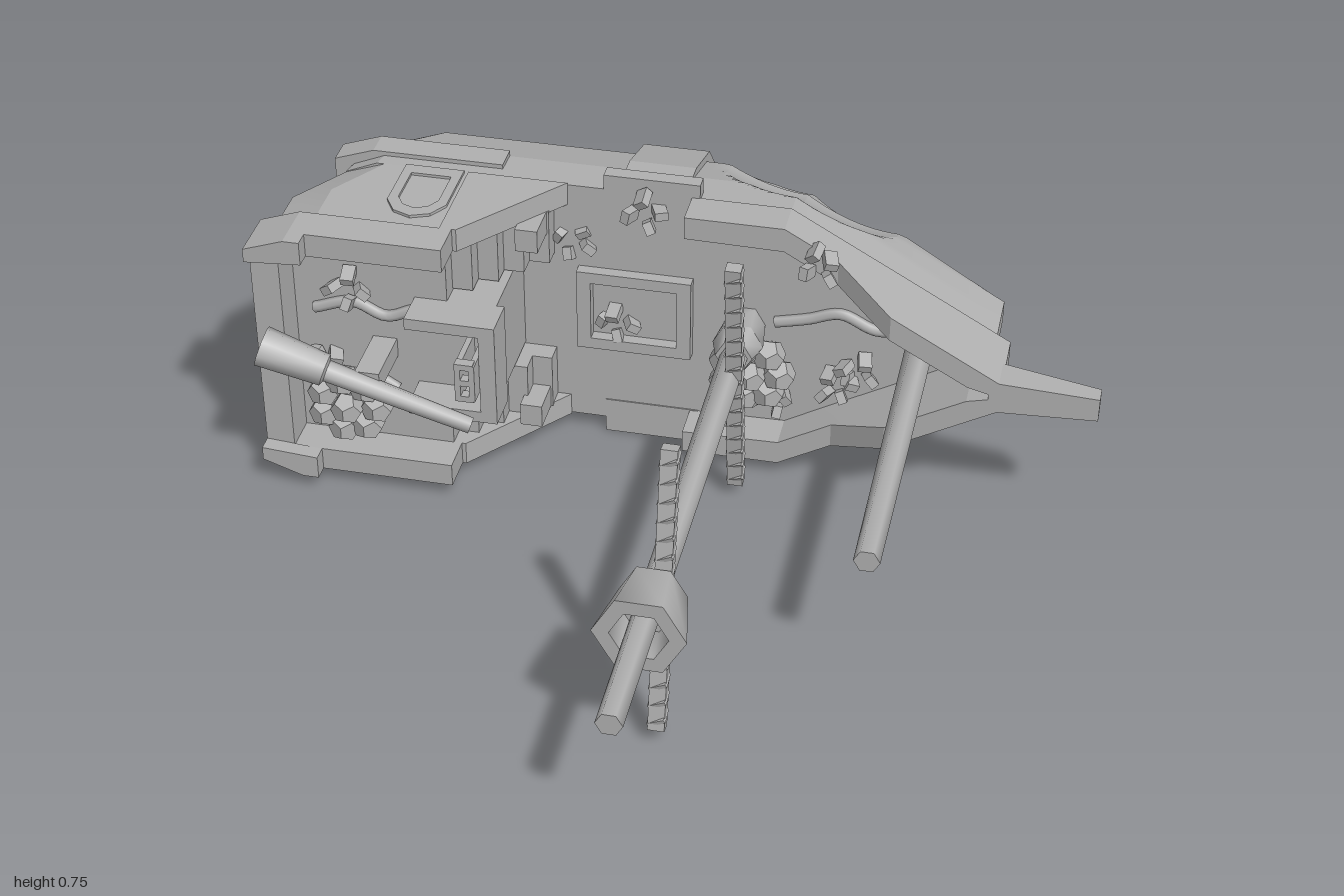
import * as THREE from 'three';
import { toCreasedNormals } from 'three/addons/utils/BufferGeometryUtils.js';

const V = (x, y, z) => new THREE.Vector3(x, y, z);
const lerp = THREE.MathUtils.lerp;

// Closed rings joined in order, with both ends capped
function loft(rings) {
  const pos = [], n = rings[0].length;
  const tri = (...p) => p.forEach(v => pos.push(v.x, v.y, v.z));
  for (let r = 0; r < rings.length - 1; r++) for (let i = 0; i < n; i++) {
    const j = (i + 1) % n, A = rings[r], B = rings[r + 1];
    tri(A[i], B[i], B[j]);
    tri(A[i], B[j], A[j]);
  }
  [rings[0], rings[rings.length - 1]].forEach((ring, end) => {
    const c = ring.reduce((s, p) => s.add(p), V(0, 0, 0)).divideScalar(n);
    ring.forEach((p, i) => {
      const q = ring[(i + 1) % n];
      if (end) tri(c, q, p); else tri(c, p, q);
    });
  });
  const g = new THREE.BufferGeometry();
  g.setAttribute('position', new THREE.Float32BufferAttribute(pos, 3));
  return g;
}

// Flat outline raised from z0 to z1
function slab(pts, z0, z1, hole) {
  const shape = new THREE.Shape(pts.map(p => new THREE.Vector2(...p)));
  if (hole) shape.holes.push(new THREE.Path(hole.map(p => new THREE.Vector2(...p))));
  return new THREE.ExtrudeGeometry(shape, { depth: z1 - z0, bevelEnabled: false }).translate(0, 0, z0);
}

const mirrorY = half => [...half, ...half.map(([x, y]) => [x, -y]).reverse()];
const rect = (x0, x1, y0, y1) => [[x0, y0], [x1, y0], [x1, y1], [x0, y1]];
const box = (x0, x1, y0, y1, z0, z1) =>
  new THREE.BoxGeometry(x1 - x0, y1 - y0, z1 - z0).translate((x0 + x1) / 2, (y0 + y1) / 2, (z0 + z1) / 2);
const lathe = (pts, sides, start = 0) =>
  new THREE.LatheGeometry(pts.map(p => new THREE.Vector2(...p)), sides, start);

// Full section from its half profile of [z, half width], split into short steps
function section(half, steps) {
  const full = [...half, ...half.map(([z, y]) => [z, -y]).reverse()], out = [];
  full.forEach((p, i) => {
    const q = full[i + 1];
    for (let k = 0; k < (q ? steps : 1); k++)
      out.push(q ? [lerp(p[0], q[0], k / steps), lerp(p[1], q[1], k / steps)] : p);
  });
  return out;
}

function hullGeometry() {
  const steps = 10;
  const prof = section([[-0.545, 0.335], [-0.65, 0.332], [-0.8, 0.288], [-0.9, 0.187]], steps);
  const sternX = z => z > -0.65 ? lerp(-0.85, -0.87, (z + 0.65) / 0.105)
    : z > -0.8 ? lerp(-0.77, -0.85, (z + 0.8) / 0.15) : -0.77;
  const rings = [[0, 0], [0, 0.9], [0.08, 1]].map(([dx, w]) => prof.map(([z, y]) => V(sternX(z) + dx, y * w, z)));
  const xs = [0];
  for (let i = 1; i <= 12; i++) xs.push(0.23 * i / 12);
  for (let i = 1; i <= 24; i++) xs.push(0.23 + 0.505 * i / 24);
  for (const x of xs) {
    const t = Math.max(0, (x - 0.23) / 0.505);
    rings.push(prof.map(([z, y], i) => {
      const p = V(x, lerp(y, y * 0.09, t), lerp(z, Math.max(z, -0.73), t));
      // shallow dent in one side of the bow
      const r2 = ((x - 0.25) / 0.22) ** 2 + ((p.z + 0.77) / 0.16) ** 2;
      if (i <= 3 * steps && r2 < 1) p.y -= 0.065 * (1 - r2);
      return p;
    }));
  }
  return loft(rings);
}

export function createModel() {
  const grey = new THREE.MeshStandardMaterial({ color: 0xb0b0b0, side: THREE.DoubleSide });
  grey.name = 'grey';
  const model = new THREE.Group();
  model.name = 'ship';
  model.position.y = 0.375;
  const SMOOTH = 1.2;
  const add = (name, geo, crease = 0.25) => {
    const m = new THREE.Mesh(toCreasedNormals(geo, crease), grey);
    m.name = name;
    model.add(m);
    return m;
  };
  const spar = (name, x, z0, z1, r0, r1) => add(name, new THREE.CylinderGeometry(r1, r0, z1 - z0, 6, 1, false, Math.PI / 6)
    .rotateX(Math.PI / 2).translate(x, 0, (z0 + z1) / 2), SMOOTH);

  // Hull and the band around its middle
  add('hull', hullGeometry());
  const bandProfile = section([[-0.575, 0.345], [-0.67, 0.345], [-0.835, 0.297], [-0.94, 0.19]], 1);
  add('hullBand', loft([-0.19, -0.025].map(x => bandProfile.map(([z, y]) => V(x, y, z)))));

  // Raised stern body with its strip and rail
  const sternOutline = (x, w, front) => mirrorY([[x, w - 0.035], [x + 0.1, w], [front, w]]);
  add('sternBody', loft([[-0.87, -0.545], [-0.96, -0.405], [-0.96, -0.285]].map(
    ([x, z]) => sternOutline(x, 0.335, -0.55).map(([a, b]) => V(a, b, z)))));
  add('sternStrip', slab(sternOutline(-0.91, 0.345, -0.485), -0.655, -0.585));
  add('sternRail', slab(mirrorY([[-0.93, 0.28], [-0.53, 0.28], [-0.53, 0.34], [-0.9, 0.34], [-1, 0.305]]
    .slice(1)).concat([[-0.93, -0.28], [-0.93, 0.28]]), -0.285, -0.19));

  // Bow sprit and the stations of the bow rail: x, inner y, outer y, top z
  add('bowsprit', loft([[0.74, 0.042, -0.45], [1, 0.03, -0.405]].map(([x, w, z]) =>
    [V(x, w, -0.36), V(x, w, z), V(x, -w, z), V(x, -w, -0.36)])));
  const bowRail = [[-0.01, 0.282, 0.34, -0.45], [0.23, 0.278, 0.34, -0.45], [0.36, 0.204, 0.267, -0.45],
    [0.5, 0.126, 0.189, -0.36], [0.69, 0.02, 0.082, -0.36], [0.77, 0, 0.037, -0.36]];

  // Parts on both sides
  const wall = new THREE.Shape([[-0.56, -0.545], [-0.315, -0.545], [-0.52, -0.285], [-0.56, -0.285]]
    .map(([x, z]) => new THREE.Vector2(x, -z)));
  const port = s => [[-0.0725, -0.112], [0.0725, -0.112], [0.0725, 0.05], [0.045, 0.095], [0, 0.113],
    [-0.045, 0.095], [-0.0725, 0.05]].map(([x, z]) => [x * s, z * s]);
  for (const s of [1, -1]) {
    const side = s > 0 ? 'Left' : 'Right';
    const sideBox = (name, x0, x1, y0, y1, z0, z1) =>
      add(name + side, box(x0, x1, Math.min(s * y0, s * y1), Math.max(s * y0, s * y1), z0, z1));
    add('bowRail' + side, loft(bowRail.map(([x, inner, outer, top]) =>
      [V(x, s * outer, top), V(x, s * outer, -0.545), V(x, s * inner, -0.545), V(x, s * inner, top)])));
    add('slopedWall' + side, new THREE.ExtrudeGeometry(wall, { depth: 0.06, bevelEnabled: false })
      .rotateX(-Math.PI / 2).translate(0, s > 0 ? 0.28 : -0.34, 0));
    add('sternPost' + side, slab([[-0.86, 0.34], [-0.9, 0.34], [-1, 0.305], [-1, 0.27], [-0.86, 0.28]]
      .map(([x, y]) => [x, s * y]), -0.19, -0.15));
    sideBox('bandFlange', -0.225, 0.01, 0.28, 0.375, -0.58, -0.542);
    add('portFrame' + side, slab(port(1), 0, 0.014, port(0.68))
      .rotateX(Math.PI / 2).translate(-0.6425, s * 0.335 + 0.007, -0.433));
    for (let i = 0; i < 4; i++)
      sideBox('stair', -0.56, -0.5 + 0.05 * i, 0.14, 0.285, -0.545, -0.337 - 0.052 * i);
    sideBox('newel', -0.41, -0.355, 0.225, 0.285, -0.545, -0.4);
    sideBox('balconySideRail', -0.63, -0.41, 0.107, 0.137, -0.29, -0.19);
  }

  // Balcony between the stairs, with a small ladder frame
  add('balcony', box(-0.56, -0.43, -0.135, 0.135, -0.545, -0.285));
  add('balconyFrontRail', box(-0.45, -0.41, -0.135, 0.135, -0.29, -0.19));
  for (const x of [-0.5, -0.465]) add('ladderPost', box(x, x + 0.014, -0.05, 0.05, -0.285, -0.15));
  for (const y of [-0.045, 0, 0.045]) add('ladderRung', box(-0.5, -0.455, y - 0.008, y + 0.008, -0.175, -0.15));

  // Hatch on the main deck
  add('hatchFrame', slab(rect(-0.29, -0.005, -0.11, 0.11), -0.545, -0.515, rect(-0.255, -0.04, -0.08, 0.08)));

  // Masts, collar and lookout basket
  spar('mainMast', 0.125, -0.53, 0.94, 0.034, 0.03);
  spar('mastCollar', 0.125, -0.545, -0.45, 0.05, 0.062);
  spar('mastCollarTop', 0.125, -0.45, -0.395, 0.062, 0.045);
  spar('foreMast', 0.555, -0.545, 0.31, 0.034, 0.03);
  add('lookoutBasket', lathe([[0, 0.51], [0.075, 0.51], [0.104, 0.66], [0.065, 0.66], [0.055, 0.58], [0, 0.58]], 6, Math.PI / 6)
    .rotateX(Math.PI / 2).translate(0.125, 0, 0), SMOOTH);

  // Yards wound with slanting rope
  for (const [top, bottom] of [[0.435, 0.565], [-0.265, -0.355]]) {
    const yard = new THREE.Group();
    yard.name = 'yard';
    yard.position.set(0.145, 0, (top + bottom) / 2);
    yard.rotation.x = Math.atan2(top - bottom, 0.68);
    model.add(yard);
    yard.add(add('yardSpar', new THREE.BoxGeometry(0.038, 0.685, 0.032)));
    for (let i = 0; i < 15; i++) {
      const rope = add('yardRope', new THREE.BoxGeometry(0.044, 0.01, 0.038));
      rope.position.y = -0.315 + i * 0.045;
      rope.rotation.z = 0.5;
      rope.rotation.x = 0.4;
      yard.add(rope);
    }
  }

  // Long gun on the stern deck
  const gun = add('gun', lathe([[0, 0], [0.05, 0], [0.04, 0.16], [0.027, 0.165], [0.02, 0.53], [0, 0.53]], 8), 0.9);
  gun.position.set(-0.96, 0.064, -0.112);
  gun.quaternion.setFromUnitVectors(V(0, 1, 0), V(0.5, -0.17, -0.02).normalize());
  add('gunMount', box(-0.74, -0.68, -0.04, 0.01, -0.285, -0.13));

  // Round growths
  for (const [x, y, z] of [[-0.8, -0.175, -0.25], [0.15, -0.11, -0.5]]) {
    for (let i = 0; i < 8; i++) {
      const a = i * Math.PI * 2 / 7, r = i < 7 ? 0.07 : 0;
      add('growth', new THREE.DodecahedronGeometry(0.042, 0)
        .translate(x + r * Math.cos(a), y + r * Math.sin(a), z + (r ? 0 : 0.02)));
    }
  }

  // Sprigs of small blocks
  const sprigs = [[-0.12, 0.3, -0.525], [-0.3, 0.18, -0.555], [0.32, 0.26, -0.44], [-0.19, -0.04, -0.545],
    [0.41, -0.09, -0.535], [0.36, -0.14, -0.535], [-0.79, 0.155, -0.27], [-0.86, -0.075, -0.27], [0.2, -0.2, -0.535]];
  sprigs.forEach(([x, y, z], k) => {
    for (let i = 0; i < 4; i++) {
      const a = k + i * 1.7, b = add('sprig', new THREE.BoxGeometry(0.032, 0.022, 0.045));
      b.position.set(x + 0.036 * Math.cos(a), y + 0.036 * Math.sin(a), z + 0.006 * i);
      b.rotation.set(0.4 * Math.sin(a), 0.4 * Math.cos(a), a * 0.4);
    }
  });

  // Winding vines on the decks
  const vines = [[-0.275, [[-0.88, 0.08], [-0.78, 0.11], [-0.7, 0.08], [-0.62, 0.11], [-0.5, 0.12]]],
    [-0.275, [[-0.92, -0.06], [-0.84, -0.1], [-0.74, -0.1], [-0.68, -0.13]]],
    [-0.535, [[0.2, 0.02], [0.28, 0.04], [0.36, 0.065], [0.45, 0.03], [0.55, 0.05]]]];
  for (const [z, pts] of vines)
    add('vine', new THREE.TubeGeometry(new THREE.CatmullRomCurve3(pts.map(([x, y]) => V(x, y, z))), 24, 0.014, 6), SMOOTH);

  return model;
}
